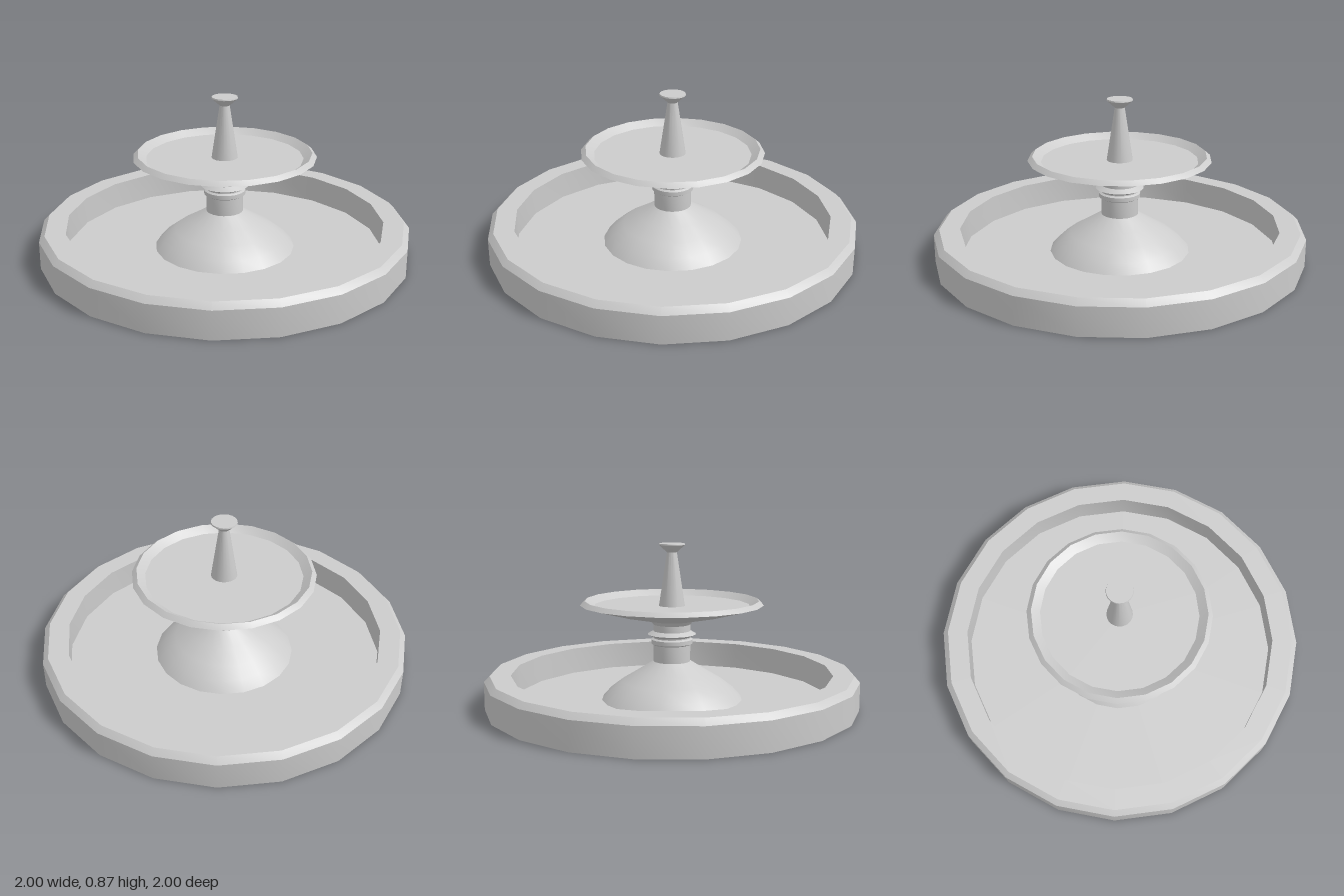
import * as THREE from 'three';
import { toCreasedNormals } from 'three/addons/utils/BufferGeometryUtils.js';

const SIDES = 20;
const material = new THREE.MeshStandardMaterial({ color: 0xcccccc });

// Turned part from [radius, height] pairs, running from the underside up the outside
function turned(name, profile) {
  const points = profile.map(([r, y]) => new THREE.Vector2(r, y));
  const geometry = toCreasedNormals(new THREE.LatheGeometry(points, SIDES), Math.PI / 6);
  const mesh = new THREE.Mesh(geometry, material);
  mesh.name = name;
  return mesh;
}

export function createModel() {
  const fountain = new THREE.Group();
  fountain.name = 'fountain';

  fountain.add(
    // Wide pool with a chamfered rim and a flat floor
    turned('basin', [
      [0, 0], [1, 0], [1, 0.15], [0.97, 0.18], [0.86, 0.18], [0.86, 0.03], [0, 0.03],
    ]),
    // Domed foot rising from the pool floor
    turned('pedestalFoot', [
      [0.38, 0.03], [0.335, 0.08], [0.27, 0.13], [0.187, 0.18], [0.1, 0.235],
    ]),
    // Column with two mouldings and a flared neck
    turned('column', [
      [0.1, 0.235], [0.1, 0.325], [0.112, 0.332], [0.112, 0.354], [0.1, 0.361],
      [0.1, 0.367], [0.13, 0.382], [0.1, 0.4], [0.1, 0.435], [0.12, 0.46],
    ]),
    // Shallow upper dish
    turned('upperBowl', [
      [0, 0.455], [0.115, 0.455], [0.3, 0.494], [0.49, 0.545],
      [0.465, 0.567], [0.42, 0.535], [0, 0.535],
    ]),
    // Tapered spout and its flared nozzle
    turned('spout', [[0.07, 0.535], [0.026, 0.825]]),
    turned('nozzle', [[0, 0.82], [0.026, 0.82], [0.07, 0.86], [0.068, 0.867], [0, 0.867]]),
  );

  return fountain;
}
